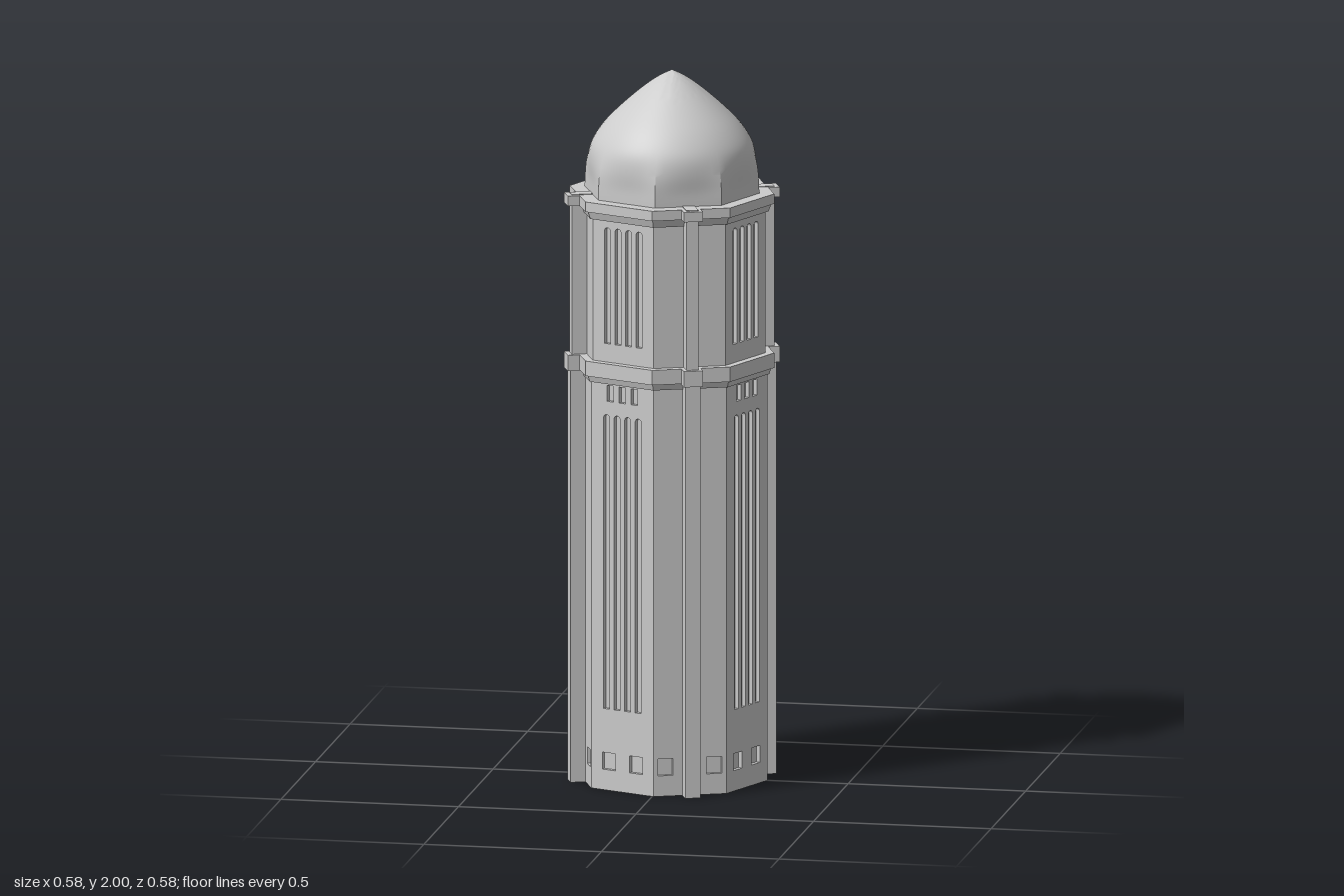
import * as THREE from 'three';
import { toCreasedNormals } from 'three/addons/utils/BufferGeometryUtils.js';

const COS = Math.cos(Math.PI / 8);
const DEPTH = 0.012; // how far windows are sunk into the walls
const stone = new THREE.MeshStandardMaterial({ color: 0xcccccc });
stone.name = 'paleStone';

function add(parent, name, geometry, x = 0, y = 0, z = 0) {
  const mesh = new THREE.Mesh(geometry, stone);
  mesh.name = name;
  mesh.position.set(x, y, z);
  parent.add(mesh);
  return mesh;
}

// Flat-sided octagonal drum with corners on the axes
function octagon(parent, name, rTop, rBottom, y0, y1) {
  const geo = new THREE.CylinderGeometry(rTop, rBottom, y1 - y0, 8);
  add(parent, name, toCreasedNormals(geo, 0.3), 0, (y0 + y1) / 2, 0);
}

// Box whose outer side lies at distance `outer` from the tower axis
function block(parent, name, w, y0, y1, inner, outer, x = 0) {
  add(parent, name, new THREE.BoxGeometry(w, y1 - y0, outer - inner), x, (y0 + y1) / 2, (inner + outer) / 2);
}

function rectHole(x, y0, y1, w) {
  const p = new THREE.Path();
  p.moveTo(x - w / 2, y0);
  p.lineTo(x - w / 2, y1);
  p.lineTo(x + w / 2, y1);
  p.lineTo(x + w / 2, y0);
  p.closePath();
  return p;
}

function archHole(x, y0, y1, w) {
  const p = new THREE.Path();
  p.moveTo(x - w / 2, y0);
  p.lineTo(x - w / 2, y1 - w / 2);
  p.absarc(x, y1 - w / 2, w / 2, Math.PI, 0, true);
  p.lineTo(x + w / 2, y0);
  p.closePath();
  return p;
}

const slots = (y0, y1) => [-1.5, -0.5, 0.5, 1.5].map((i) => archHole(i * 0.035, y0, y1, 0.02));

// One side of an octagonal storey, pierced by window openings
function wall(parent, name, R, y0, y1, holes) {
  const half = R * Math.sin(Math.PI / 8);
  const shape = new THREE.Shape();
  shape.moveTo(-half, y0);
  shape.lineTo(half, y0);
  shape.lineTo(half, y1);
  shape.lineTo(-half, y1);
  shape.closePath();
  shape.holes = holes;
  const geo = new THREE.ExtrudeGeometry(shape, { depth: DEPTH, bevelEnabled: false, curveSegments: 6 });
  add(parent, name, geo, 0, 0, R * COS - DEPTH);
}

// Pointed dome: octagonal at the foot, blending to round above
function domeGeometry() {
  const curve = new THREE.SplineCurve([
    [0.246, 1.64], [0.245, 1.69], [0.239, 1.745], [0.221, 1.8], [0.188, 1.85],
    [0.139, 1.9], [0.081, 1.95], [0.036, 1.982], [0, 2],
  ].map(([r, y]) => new THREE.Vector2(r, y)));
  const rows = 40, cols = 64, pos = [], idx = [];
  for (let i = 0; i <= rows; i++) {
    const p = curve.getPoint(i / rows);
    const blend = THREE.MathUtils.smoothstep(p.y, 1.68, 1.81);
    for (let j = 0; j <= cols; j++) {
      const a = (j / cols) * Math.PI * 2;
      const local = (a % (Math.PI / 4)) - Math.PI / 8;
      const r = Math.max(0, p.x) * THREE.MathUtils.lerp(COS / Math.cos(local), 1, blend);
      pos.push(r * Math.sin(a), p.y, r * Math.cos(a));
      if (i < rows && j < cols) {
        const k = i * (cols + 1) + j, up = k + cols + 1;
        idx.push(k, k + 1, up + 1);
        if (i < rows - 1) idx.push(k, up + 1, up);
        else idx[idx.length - 1] = up;
      }
    }
  }
  const geo = new THREE.BufferGeometry();
  geo.setAttribute('position', new THREE.Float32BufferAttribute(pos, 3));
  geo.setIndex(idx);
  return toCreasedNormals(geo, 0.4);
}

export function createModel() {
  const model = new THREE.Group();
  model.name = 'octagonalTower';
  const tower = new THREE.Group();
  tower.name = 'tower';
  tower.position.x = 0.004;
  model.add(tower);

  const R1 = 0.269, R2 = 0.264, inset = DEPTH / COS;

  // Solid cores, seen at the back of the window openings
  octagon(tower, 'lowerCore', R1 - inset, R1 - inset, 0, 1.18);
  octagon(tower, 'upperCore', R2 - inset, R2 - inset, 1.18, 1.64);

  // Cornices
  octagon(tower, 'lowerCorniceMoulding', 0.28, 0.274, 1.15, 1.168);
  octagon(tower, 'lowerCornice', 0.288, 0.288, 1.168, 1.21);
  octagon(tower, 'upperCorniceMoulding', 0.28, 0.272, 1.61, 1.632);
  octagon(tower, 'upperCornice', 0.288, 0.288, 1.632, 1.66);

  add(tower, 'dome', domeGeometry());

  for (let k = 0; k < 4; k++) {
    // Window side
    const front = new THREE.Group();
    front.name = 'windowSide' + (k + 1);
    front.rotation.y = -Math.PI / 8 + (k * Math.PI) / 2;
    tower.add(front);
    const isDoor = k === 3;
    const low = slots(0.23, 1.062);
    for (const i of [-1, 0, 1]) low.push(rectHole(i * 0.04, 1.1, 1.145, 0.022));
    if (isDoor) low.push(rectHole(0, 0.012, 0.108, 0.13));
    else for (const s of [-1, 1]) low.push(rectHole(s * 0.045, 0.058, 0.106, 0.043));
    wall(front, 'lowerWindowWall', R1, 0, 1.18, low);
    wall(front, 'upperWindowWall', R2, 1.18, 1.64, slots(1.262, 1.59));

    // Entrance with lintel, jambs and step
    if (isDoor) {
      block(front, 'doorLintel', 0.206, 0.128, 0.143, 0.235, 0.271);
      block(front, 'doorLintelBase', 0.19, 0.11, 0.128, 0.235, 0.26);
      for (const s of [-1, 1]) block(front, 'doorJamb', 0.016, 0, 0.11, 0.235, 0.258, s * 0.075);
      block(front, 'doorStep', 0.152, 0, 0.02, 0.235, 0.287);
    }

    // Buttress side
    const side = new THREE.Group();
    side.name = 'buttressSide' + (k + 1);
    side.rotation.y = Math.PI / 8 + (k * Math.PI) / 2;
    tower.add(side);
    wall(side, 'lowerPlainWall', R1, 0, 1.18, [-1, 1].map((s) => rectHole(s * 0.069, 0.058, 0.106, 0.043)));
    wall(side, 'upperPlainWall', R2, 1.18, 1.64, []);
    block(side, 'lowerButtress', 0.042, 0, 1.17, 0.22, 0.29);
    block(side, 'upperButtress', 0.034, 1.2, 1.662, 0.22, 0.286);
    block(side, 'lowerButtressCap', 0.054, 1.165, 1.21, 0.22, 0.299);
    block(side, 'upperButtressCap', 0.054, 1.632, 1.66, 0.22, 0.299);
  }
  return model;
}
